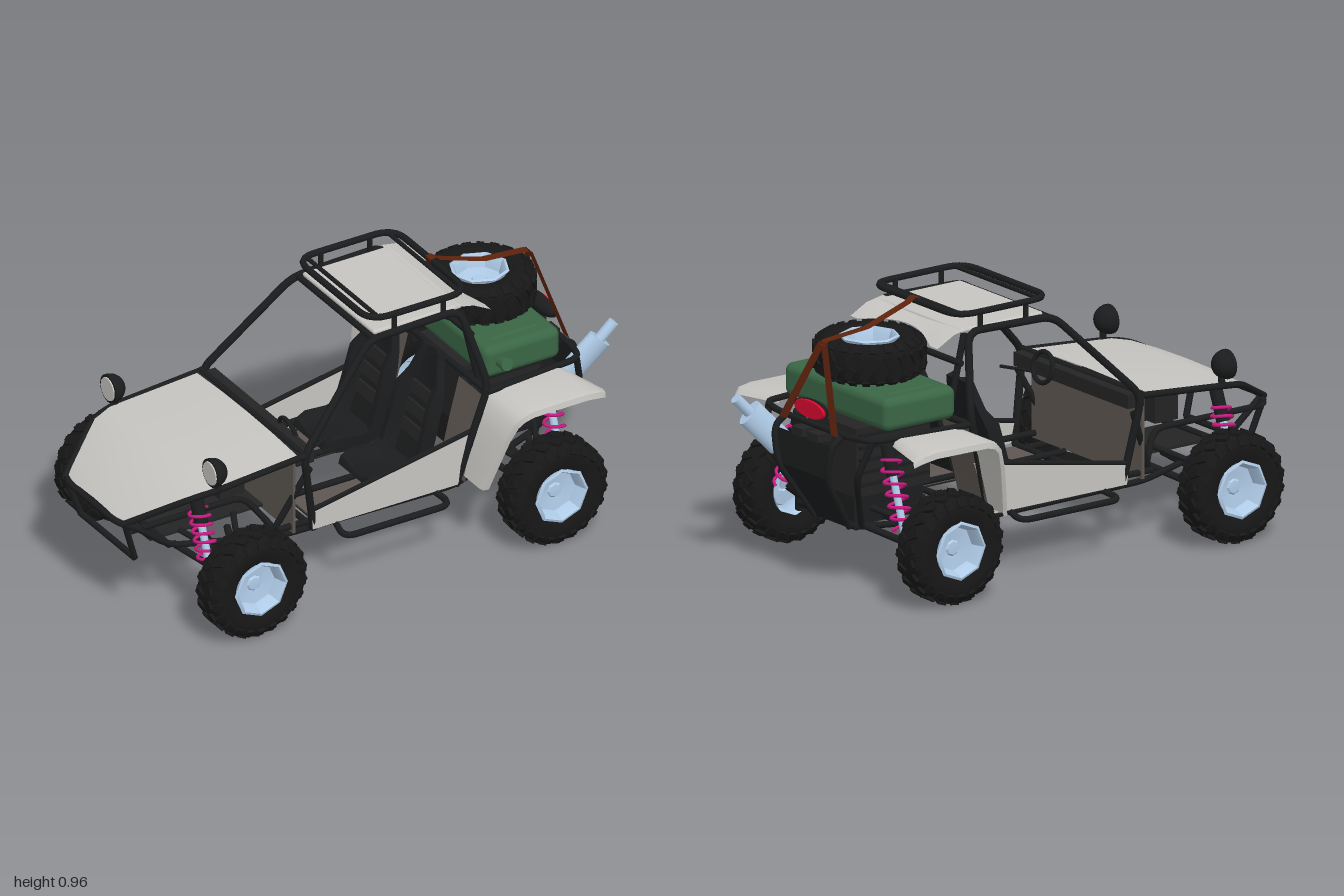
import * as THREE from 'three';
import { mergeGeometries, toCreasedNormals } from 'three/addons/utils/BufferGeometryUtils.js';
import { RoundedBoxGeometry } from 'three/addons/geometries/RoundedBoxGeometry.js';

const V = (p) => new THREE.Vector3(...p);

export function createModel() {
  const root = new THREE.Group();
  root.name = 'buggy';
  const mat = (name, color) => {
    const m = new THREE.MeshStandardMaterial({ color, side: THREE.DoubleSide });
    m.name = name;
    return m;
  };
  const black = mat('frameBlack', 0x1b1c1d), rubber = mat('tyreRubber', 0x171717);
  const grey = mat('bodyGrey', 0xc5c4c0), green = mat('canGreen', 0x3a6645);
  const red = mat('lampRed', 0xd90a2e), brown = mat('strapBrown', 0x5f230c);
  const pink = mat('springPink', 0xcc1a82), steel = mat('paleSteel', 0xb0cce8);
  const floorMat = mat('floorBrownGrey', 0x5d5651), dark = mat('panelDark', 0x242424);

  // helpers
  const add = (name, geo, material, parent = root) => {
    const m = new THREE.Mesh(geo, material);
    m.name = name;
    parent.add(m);
    return m;
  };
  const flip = (p, s) => [p[0], p[1], p[2] * s];
  const both = (fn) => [1, -1].forEach(fn);
  const box = (name, size, pos, material) => {
    const m = add(name, new THREE.BoxGeometry(...size), material);
    m.position.set(...pos);
    return m;
  };
  const bar = (name, a, b, r, material = black, r2 = r, sides = 10) => {
    const p = V(a), q = V(b), d = q.clone().sub(p);
    const m = add(name, new THREE.CylinderGeometry(r2, r, d.length(), sides), material);
    m.position.copy(p).add(q).multiplyScalar(0.5);
    m.quaternion.setFromUnitVectors(new THREE.Vector3(0, 1, 0), d.normalize());
    return m;
  };
  // bent tube with rounded corners
  const tube = (name, pts, r = 0.012, material = black, bend = 0.05) => {
    const path = new THREE.CurvePath(), v = pts.map(V);
    let last = v[0];
    for (let i = 1; i < v.length - 1; i++) {
      const toward = (o) => v[i].clone().add(o.clone().sub(v[i]).clampLength(0, Math.min(bend, o.distanceTo(v[i]) * 0.45)));
      const a = toward(v[i - 1]), b = toward(v[i + 1]);
      path.add(new THREE.LineCurve3(last, a));
      path.add(new THREE.QuadraticBezierCurve3(a, v[i], b));
      last = b;
    }
    path.add(new THREE.LineCurve3(last, v[v.length - 1]));
    return add(name, new THREE.TubeGeometry(path, 12 * pts.length, r, 8), material);
  };
  const pair = (name, pts, r) => both((s) => tube(name, pts.map((p) => flip(p, s)), r));
  // surface through rows of points
  const loft = (rows, crease = 0.5) => {
    const n = rows[0].length, idx = [], g = new THREE.BufferGeometry();
    for (let i = 0; i < rows.length - 1; i++) for (let j = 0; j < n - 1; j++) {
      const a = i * n + j, b = a + n;
      idx.push(a, b, a + 1, b, b + 1, a + 1);
    }
    g.setAttribute('position', new THREE.Float32BufferAttribute(rows.flat(2), 3));
    g.setIndex(idx);
    return toCreasedNormals(g, crease);
  };

  // wheels: knobbly tyre around an eight-sided dished rim, axis along local y
  const lathe = (pts, n) => new THREE.LatheGeometry(pts.map((p) => new THREE.Vector2(...p)), n);
  const lugs = [lathe([[0.098, -0.055], [0.13, -0.068], [0.168, -0.066], [0.188, -0.052], [0.193, 0],
    [0.188, 0.052], [0.168, 0.066], [0.13, 0.068], [0.098, 0.055]], 36)];
  for (let i = 0; i < 22; i++) both((s) => {
    const a = ((i + (s > 0 ? 0.5 : 0)) / 22) * Math.PI * 2;
    const crown = new THREE.BoxGeometry(0.02, 0.042, 0.03).rotateX(s * 0.5).translate(0.19, s * 0.024, 0);
    const shoulder = new THREE.BoxGeometry(0.034, 0.012, 0.026).rotateZ(-s * 0.6).translate(0.174, s * 0.06, 0);
    lugs.push(crown.rotateY(a), shoulder.rotateY(a));
  });
  const tyreGeo = mergeGeometries(lugs);
  const rimGeo = toCreasedNormals(lathe([[0.1, -0.055], [0.09, -0.04], [0.085, 0], [0.1, 0.055], [0.108, 0.066], [0.098, 0.07],
    [0.09, 0.058], [0.08, 0.022], [0.03, 0.016], [0.024, 0.022], [0, 0.024]], 8), 0.4);
  const wheel = (name, pos, rx) => {
    const g = new THREE.Group();
    g.name = name;
    add('tyre', tyreGeo, rubber, g);
    add('rim', rimGeo, steel, g);
    g.position.set(...pos);
    g.rotation.x = rx;
    root.add(g);
  };
  both((s) => {
    wheel('frontWheel', [-0.632, 0.21, s * 0.472], s * Math.PI / 2);
    wheel('rearWheel', [0.594, 0.21, s * 0.472], s * Math.PI / 2);
  });
  wheel('spareWheel', [0.587, 0.8, 0], 0);

  // suspension: arms, hubs, dampers and coil springs
  const spring = (a, b) => {
    const p = V(a), d = V(b).sub(p), pts = [], len = d.length();
    const q = new THREE.Quaternion().setFromUnitVectors(new THREE.Vector3(0, 1, 0), d.clone().normalize());
    for (let i = 0; i <= 72; i++) {
      const t = (i / 12) * Math.PI * 2;
      pts.push(new THREE.Vector3(Math.cos(t) * 0.036, (i / 72) * len, Math.sin(t) * 0.036).applyQuaternion(q).add(p));
    }
    add('coilSpring', new THREE.TubeGeometry(new THREE.CatmullRomCurve3(pts), 144, 0.006, 6), pink);
  };
  both((s) => {
    for (const [x, sx, rise, top] of [[-0.632, -0.73, 0.255, 0.72], [0.594, 0.7, 0.3, 0.84]]) {
      for (const dx of [-0.11, 0.11]) {
        bar('lowerArm', [x + dx, 0.225, s * 0.13], [x, 0.16, s * 0.4], 0.013);
        bar('upperArm', [x + dx, 0.3, s * 0.17], [x, 0.24, s * 0.4], 0.011);
      }
      bar('axle', [x, 0.24, s * 0.08], [x, 0.21, s * 0.45], 0.015);
      bar('hub', [x, 0.14, s * 0.385], [x, 0.27, s * 0.385], 0.022);
      const at = (t) => [sx, 0.25 + rise * t, s * (0.35 - 0.1 * t)];
      bar('damperRod', at(0), at(0.7), 0.014, steel);
      bar('damperBody', at(top - 0.2), at(1), 0.025);
      spring(at(0.04), at(top));
      bar('springMountArm', at(0.05), [x, 0.19, s * 0.38], 0.015);
    }
  });

  // main frame and cage
  pair('lowerRail', [[-0.97, 0.41, 0.2], [-0.8, 0.27, 0.2], [-0.4, 0.225, 0.28], [0.3, 0.225, 0.3], [0.74, 0.225, 0.12]]);
  pair('hoodRail', [[-0.99, 0.405, 0.19], [-0.79, 0.515, 0.325], [-0.7, 0.53, 0.345], [-0.34, 0.56, 0.345]]);
  pair('cageHoop', [[-0.28, 0.235, 0.31], [-0.34, 0.56, 0.345], [-0.02, 0.885, 0.255], [0.35, 0.895, 0.255], [0.41, 0.62, 0.35], [0.3, 0.23, 0.31]], 0.014);
  pair('rearPillar', [[0.36, 0.89, 0.245], [0.43, 0.59, 0.245]]);
  pair('footBrace', [[-0.31, 0.5, 0.335], [-0.42, 0.26, 0.28]]);
  pair('midRail', [[-0.42, 0.265, 0.3], [0.3, 0.265, 0.31]]);
  pair('sideStep', [[-0.19, 0.235, 0.3], [-0.21, 0.22, 0.4], [0.23, 0.22, 0.4], [0.21, 0.235, 0.3]]);
  pair('tunnelRail', [[-0.34, 0.25, 0.1], [0.35, 0.25, 0.1]]);
  pair('rearPanelRail', [[0.82, 0.585, 0.165], [0.88, 0.55, 0.165], [0.88, 0.42, 0.14], [0.75, 0.22, 0.1]]);
  pair('rearStay', [[0.8, 0.585, 0.3], [0.84, 0.45, 0.26], [0.72, 0.225, 0.13]]);
  pair('bumperStay', [[-0.98, 0.4, 0.2], [-0.93, 0.25, 0.18]]);
  pair('noseRail', [[-0.96, 0.375, 0.2], [-0.5, 0.375, 0.2], [-0.42, 0.26, 0.26]]);
  tube('rearLoop', [[0.41, 0.59, 0.345], [0.81, 0.59, 0.31], [0.83, 0.585, 0.2], [0.83, 0.585, -0.2], [0.81, 0.59, -0.31], [0.41, 0.59, -0.345]]);
  tube('noseLoop', [[-0.94, 0.4, 0.25], [-0.995, 0.405, 0.17], [-0.995, 0.405, -0.17], [-0.94, 0.4, -0.25]]);
  for (const [x, y, z] of [[-0.93, 0.25, 0.18], [-0.34, 0.565, 0.345], [-0.28, 0.235, 0.31], [0.3, 0.235, 0.31],
    [0.0, 0.885, 0.255], [0.41, 0.59, 0.345], [0.39, 0.79, 0.27], [0.74, 0.225, 0.13], [-0.8, 0.27, 0.2]])
    bar('crossTube', [x, y, z], [x, y, -z], 0.012);

  // roof, rack and rear roof spoiler
  const roof = add('roofPanel', new RoundedBoxGeometry(0.36, 0.018, 0.48, 3, 0.009), grey);
  roof.position.set(0.19, 0.895, 0);
  add('roofSpoiler', loft([...Array(13)].map((_, i) => {
    const t = i / 6 - 1, reach = 0.08 + 0.1 * t * t - 0.04 * t ** 8;
    return [[0.34, 0.906, t * 0.25], [0.34 + reach * 0.5, 0.892, t * 0.252], [0.34 + reach, 0.908 - reach * 0.38, t * 0.252]];
  })), grey);
  const ring = [[0.2, 0.25], [-0.01, 0.25], [-0.01, -0.25], [0.39, -0.25], [0.39, 0.25], [0.2, 0.25]];
  tube('rackLoop', ring.map(([x, z]) => [x, 0.957, z]), 0.012, black, 0.08);
  both((s) => [0.09, 0.29].forEach((x) => bar('rackPost', [x, 0.89, s * 0.245], [x, 0.957, s * 0.245], 0.01)));
  [0.03, 0.36].forEach((x) => bar('rackBar', [x, 0.955, -0.24], [x, 0.955, 0.24], 0.008));

  // hood with a slight crown, firewall, dashboard, floor and panels behind the seats
  add('hood', loft([[-0.985, 0.405, 0.19], [-0.95, 0.43, 0.22], [-0.79, 0.52, 0.32], [-0.72, 0.535, 0.34], [-0.36, 0.562, 0.34]]
    .map(([x, y, w]) => [-1, -0.5, 0, 0.5, 1].map((t) => [x, y + 0.012 * (1 - t * t), t * w]))), grey);
  box('firewall', [0.01, 0.31, 0.64], [-0.365, 0.4, 0], floorMat);
  box('dashboard', [0.07, 0.05, 0.66], [-0.325, 0.54, 0], dark);
  both((s) => {
    box('floorPan', [0.56, 0.006, 0.18], [0.03, 0.238, s * 0.19], floorMat);
    box('floorUnderside', [0.56, 0.006, 0.18], [0.03, 0.231, s * 0.19], dark);
    box('noseBattery', [0.1, 0.11, 0.1], [-0.55, 0.45, s * 0.16], dark);
    add('bulkhead', loft([[0.32, 0.25, 0.34], [0.36, 0.42, 0.34], [0.4, 0.57, 0.335]]
      .map(([x, y, z]) => [[x, y, s * 0.17], [x, y, s * z]])), floorMat);
  });
  box('noseFloor', [0.46, 0.01, 0.24], [-0.6, 0.26, 0], dark);

  // side panels
  const side = new THREE.Shape([[-0.29, 0.24], [0.3, 0.24], [0.37, 0.435], [0.3, 0.425], [-0.3, 0.315]].map((p) => new THREE.Vector2(...p)));
  both((s) => {
    add('sidePanel', new THREE.ExtrudeGeometry(side, { depth: 0.012, bevelEnabled: false }), grey).position.z = s * 0.32 - 0.006;
    bar('sidePanelTrim', [-0.3, 0.315, s * 0.32], [0.36, 0.437, s * 0.32], 0.009);
  });

  // rear fenders: smoothly rolled deck and front, with a turned-down outer lip
  both((s) => add('rearFender', loft([
    [0.785, 0.565, 0.52, 0, -0.025, -0.05], [0.755, 0.582, 0.54, 0, -0.025, -0.03], [0.7, 0.59, 0.542, 0, -0.025, 0],
    [0.48, 0.588, 0.542, 0, -0.025, 0], [0.435, 0.575, 0.54, 0.01, -0.022, 0], [0.405, 0.545, 0.53, 0.018, -0.015, 0],
    [0.375, 0.47, 0.51, 0.025, 0, 0], [0.345, 0.36, 0.48, 0.025, 0, 0], [0.322, 0.27, 0.455, 0.025, 0, 0],
  ].map(([x, y, z, dx, dy, cut]) => [[x + cut, y, s * 0.33], [x, y, s * (z - 0.02)],
    [x + dx * 0.15, y + dy * 0.15, s * (z - 0.005)], [x + dx, y + dy, s * z]]), 0.9), grey));

  // bucket seats: one closed cross-section swept from cushion to headrest
  const seatPath = [[-0.015, 0.3, 0.1], [0.03, 0.285, 0.115], [0.13, 0.275, 0.12], [0.19, 0.3, 0.12], [0.225, 0.4, 0.12],
    [0.26, 0.53, 0.115], [0.28, 0.59, 0.095], [0.295, 0.65, 0.07], [0.31, 0.7, 0.055]];
  const seatRows = seatPath.map(([x, y, w], i) => {
    const a = seatPath[Math.max(i - 1, 0)], b = seatPath[Math.min(i + 1, seatPath.length - 1)];
    const d = Math.hypot(b[0] - a[0], b[1] - a[1]), nx = -(b[1] - a[1]) / d, ny = (b[0] - a[0]) / d;
    const k = w > 0.11 ? 0.04 : 0.016;
    return [[-w, k], [-0.8 * w, k], [-0.55 * w, 0], [0.55 * w, 0], [0.8 * w, k], [w, k], [w, -0.015], [-w, -0.015], [-w, k]]
      .map(([z, h]) => [x + nx * h, y + ny * h, z]);
  });
  const cap = (row) => row.map(() => [0, 1, 2].map((c) => (row[2][c] + row[6][c]) / 2));
  const seatGeo = loft([cap(seatRows[0]), ...seatRows, cap(seatRows[seatRows.length - 1])], 0.7);
  both((s) => {
    add('seat', seatGeo, black).position.z = s * 0.15;
    [0.4, 0.47, 0.54].forEach((y) => {
      const r = box('seatPad', [0.025, 0.045, 0.12], [0.226 + (y - 0.4) * 0.27, y, s * 0.15], dark);
      r.rotation.z = -0.25;
    });
  });

  // steering wheel and levers
  const steer = add('steeringWheel', new THREE.TorusGeometry(0.055, 0.009, 8, 24), black);
  steer.position.set(-0.29, 0.55, 0.16);
  steer.rotation.set(0, Math.PI / 2, 0.2, 'ZYX');
  bar('steeringColumn', [-0.34, 0.53, 0.16], [-0.29, 0.55, 0.16], 0.012);
  bar('dashLever', [-0.34, 0.5, 0.26], [-0.18, 0.55, 0.26], 0.006);

  // headlamps
  const bowl = new THREE.SphereGeometry(0.052, 20, 10, 0, Math.PI * 2, 0, Math.PI / 2).rotateZ(-Math.PI / 2);
  both((s) => {
    add('headlampBowl', bowl, black).position.set(-0.71, 0.605, s * 0.34);
    bar('headlampRim', [-0.72, 0.605, s * 0.34], [-0.705, 0.605, s * 0.34], 0.053, black, 0.053, 20);
    bar('headlampLens', [-0.719, 0.605, s * 0.34], [-0.724, 0.605, s * 0.34], 0.045, grey, 0.043, 20);
    bar('headlampStalk', [-0.69, 0.53, s * 0.345], [-0.69, 0.57, s * 0.34], 0.013);
  });

  // engine bay and tapered rear panel
  box('engineBlock', [0.32, 0.25, 0.28], [0.59, 0.46, 0], dark);
  for (let i = 0; i < 5; i++) box('engineFin', [0.3, 0.012, 0.31], [0.59, 0.38 + i * 0.045, 0], black);
  box('gearbox', [0.3, 0.12, 0.2], [0.58, 0.28, 0], black);
  both((s) => box('airIntake', [0.06, 0.03, 0.06], [0.84, 0.555, s * 0.045], dark));
  add('rearPanel', loft([[0.868, 0.545, 0.16], [0.872, 0.42, 0.135], [0.75, 0.22, 0.1]].map(([x, y, w]) => [[x, y, -w], [x, y, w]])), black);

  // fuel can with filler cap
  add('fuelCan', new RoundedBoxGeometry(0.31, 0.12, 0.6, 4, 0.03), green).position.set(0.585, 0.664, 0);
  both((s) => add('canRib', new RoundedBoxGeometry(0.22, 0.128, 0.18, 2, 0.02), green).position.set(0.585, 0.664, s * 0.16));
  bar('fillerNeck', [0.49, 0.66, 0.28], [0.49, 0.672, 0.335], 0.02, green);
  bar('fillerCap', [0.49, 0.67, 0.325], [0.49, 0.675, 0.345], 0.024, green);

  // rear lamp: shallow black bowl with a flat red lens
  const lampBowl = add('rearLampBowl', new THREE.SphereGeometry(1, 24, 10, 0, Math.PI * 2, 0, Math.PI / 2).rotateZ(Math.PI / 2), black);
  lampBowl.scale.set(0.04, 0.036, 0.093);
  lampBowl.position.set(0.846, 0.643, 0);
  const lens = add('rearLampLens', new THREE.CylinderGeometry(0.94, 1, 1, 28).rotateZ(-Math.PI / 2), red);
  lens.scale.set(0.008, 0.033, 0.088);
  lens.position.set(0.849, 0.643, 0);

  // strap holding the spare wheel
  const strap = (name, rows) => add(name, loft(rows), brown);
  strap('strapTop', [[0.38, 0.945], [0.378, 0.968], [0.4, 0.971], [0.42, 0.955], [0.6, 0.895], [0.78, 0.88], [0.795, 0.865]].map(([x, y]) => [[x, y, -0.018], [x, y, 0.018]]));
  both((s) => strap('strapLeg', [[[0.79, 0.875, -s * 0.012], [0.79, 0.875, s * 0.025]], [[0.852, 0.58, s * 0.128], [0.852, 0.58, s * 0.17]]]));

  // exhaust with a flattened muffler
  tube('exhaustPipe', [[0.49, 0.49, 0.2], [0.54, 0.435, 0.22], [0.75, 0.43, 0.22], [0.83, 0.49, 0.212]], 0.018, steel);
  bar('muffler', [0.82, 0.468, 0.209], [0.935, 0.59, 0.235], 0.052, steel, 0.052, 18).scale.z = 0.58;
  bar('tailPipe', [0.92, 0.575, 0.233], [0.985, 0.648, 0.246], 0.02, steel, 0.02, 14);
  return root;
}
